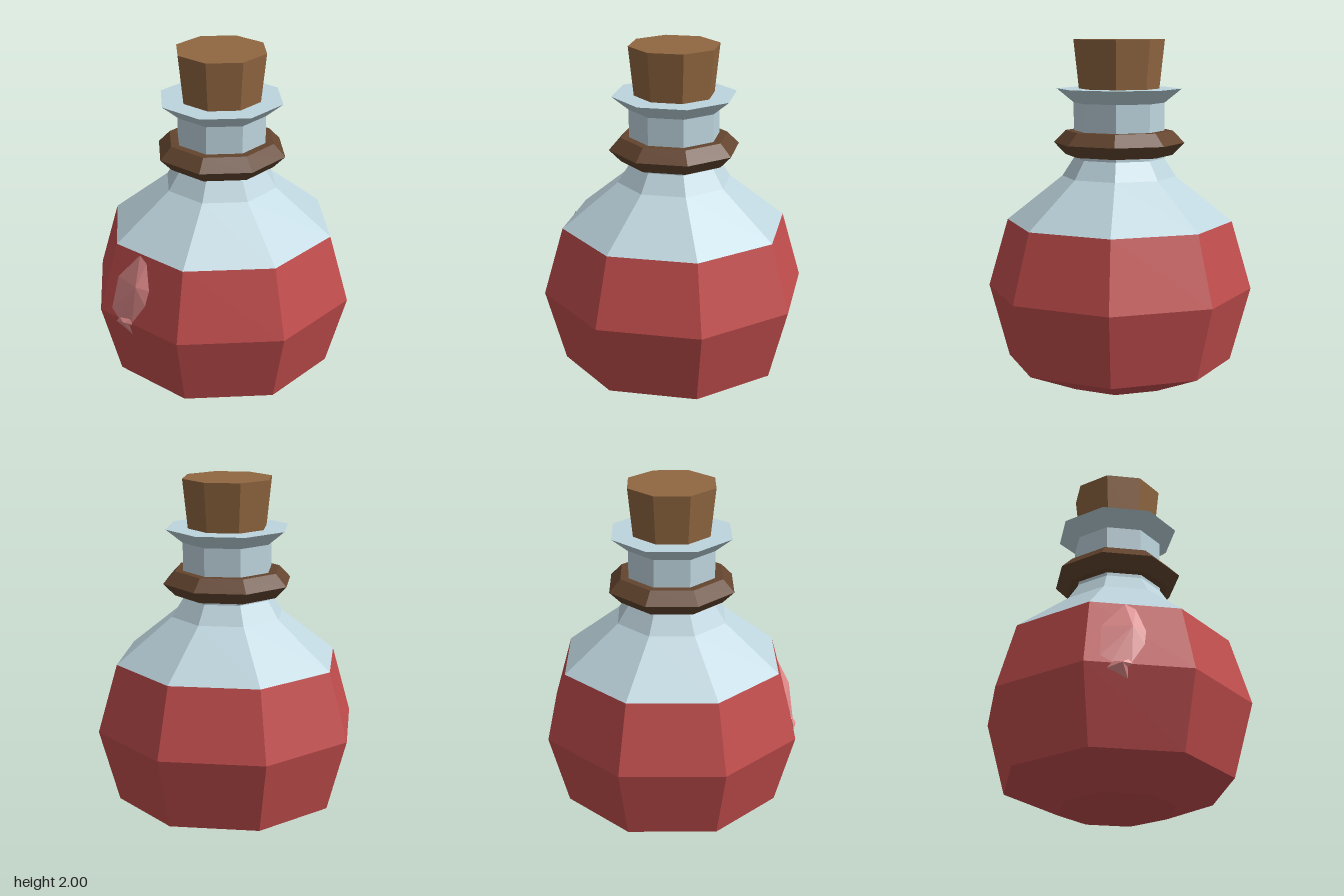
import * as THREE from 'three';

const mat = (name, color, side = THREE.FrontSide) => {
  const m = new THREE.MeshStandardMaterial({ color, flatShading: true, side });
  m.name = name;
  return m;
};

// Eight-sided turned part from [radius, height] pairs, bottom to top
function turned(name, profile, material) {
  const pts = profile.map(([r, y]) => new THREE.Vector2(r, y));
  const mesh = new THREE.Mesh(new THREE.LatheGeometry(pts, 8), material);
  mesh.name = name;
  return mesh;
}

// Point on the front-right flank of the bottle, raised by lift
function onFlank(x, y, lift) {
  const z = 0.77 - 0.28 * Math.abs(y - 0.56) + 0.413 * x;
  return [x - 0.36 * lift, y, z + lift];
}

// Shallow faceted shard: a fan from a raised apex to an outline on the flank
function shard(name, apex, lift, outline, material) {
  const pos = [];
  outline.forEach((p, i) => {
    const q = outline[(i + 1) % outline.length];
    pos.push(...onFlank(...apex, lift), ...onFlank(...q, 0.004), ...onFlank(...p, 0.004));
  });
  const geo = new THREE.BufferGeometry();
  geo.setAttribute('position', new THREE.Float32BufferAttribute(pos, 3));
  geo.computeVertexNormals();
  const mesh = new THREE.Mesh(geo, material);
  mesh.name = name;
  return mesh;
}

export function createModel() {
  const group = new THREE.Group();
  group.name = 'potionBottle';
  const red = mat('red liquid', 0xc24d4d);
  const glass = mat('pale glass', 0xbed5de);
  const cork = mat('cork', 0x906640);
  const leather = mat('dark brown collar', 0x64452f);
  const pink = mat('pink highlight', 0xe08a8a, THREE.DoubleSide);

  // Body filled with liquid
  group.add(turned('liquidBody',
    [[0, 0], [0.33, 0], [0.655, 0.135], [0.77, 0.56], [0.655, 0.955]], red));

  // Shoulder, neck and flared lip
  group.add(turned('glassNeck',
    [[0.655, 0.955], [0.33, 1.215], [0.262, 1.32], [0.262, 1.64], [0.36, 1.72], [0, 1.72]], glass));

  // Collar around the neck
  group.add(turned('collar',
    [[0.25, 1.34], [0.31, 1.34], [0.378, 1.41], [0.31, 1.48], [0.25, 1.48]], leather));

  // Stopper
  group.add(turned('stopper', [[0, 1.66], [0.225, 1.66], [0.262, 2], [0, 2]], cork));

  // Highlight on the flank, with a small drip under it
  group.add(shard('highlight', [-0.28, 0.79], 0.035, [
    [-0.29, 0.95], [-0.24, 0.92], [-0.21, 0.78], [-0.23, 0.69],
    [-0.31, 0.57], [-0.41, 0.565], [-0.46, 0.6], [-0.43, 0.79],
  ], pink));
  group.add(shard('highlightDrip', [-0.36, 0.56], 0.02, [
    [-0.32, 0.59], [-0.31, 0.56], [-0.33, 0.54], [-0.32, 0.48],
    [-0.38, 0.51], [-0.43, 0.53], [-0.4, 0.57],
  ], pink));

  return group;
}
